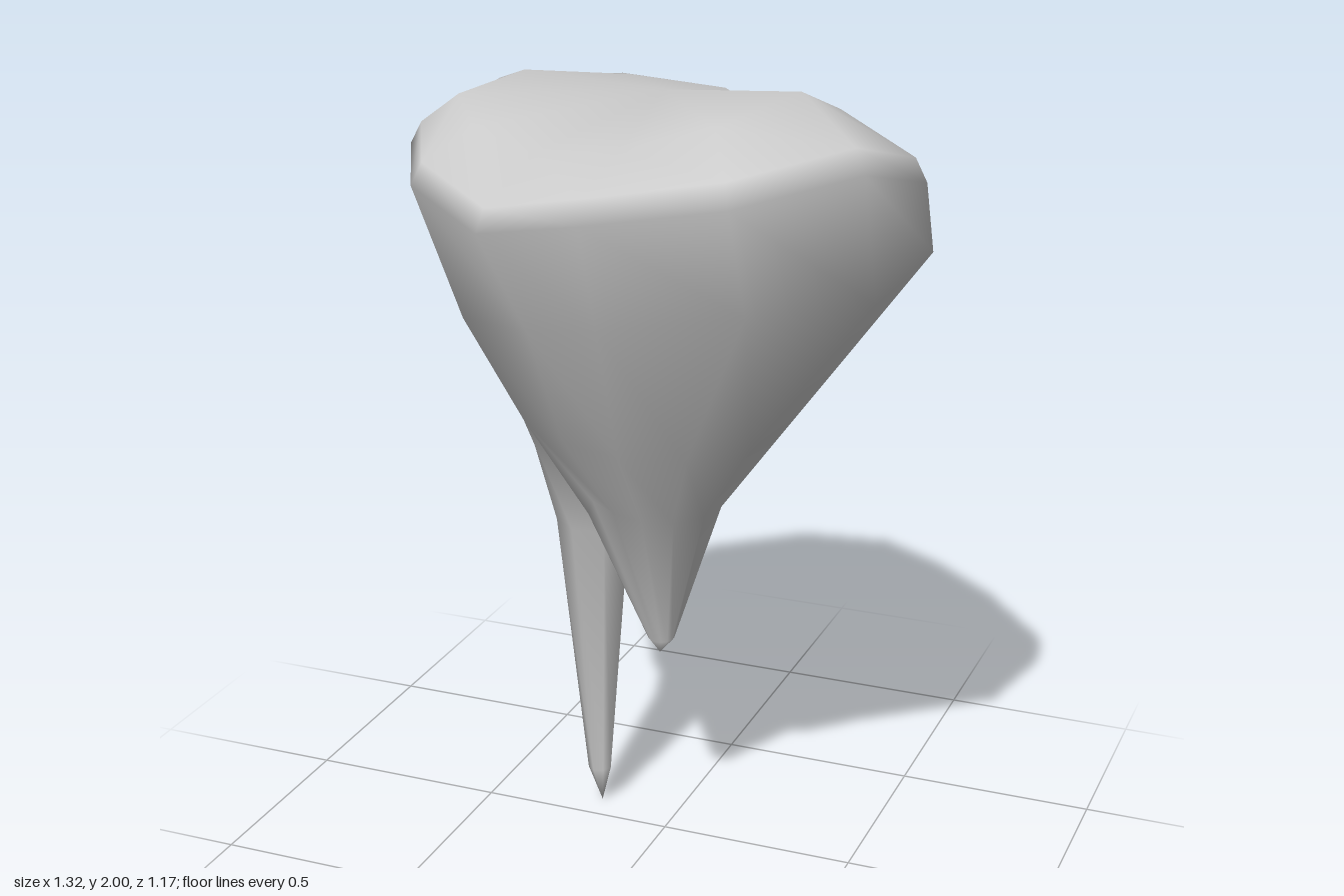
import * as THREE from 'three';
import { mergeVertices } from 'three/addons/utils/BufferGeometryUtils.js';

// Irregular twelve-sided outline [x, z], from the back round the left side
const OUTLINE = [
  [-0.03, -0.585], [0.19, -0.505], [0.42, -0.29], [0.64, 0.01], [0.585, 0.31], [0.35, 0.52],
  [0.03, 0.585], [-0.26, 0.485], [-0.52, 0.29], [-0.66, 0.015], [-0.575, -0.275], [-0.32, -0.5],
];

// Heights around the outline
const RIM = [1.76, 1.71, 1.74, 1.78, 1.86, 1.81, 1.76, 1.69, 1.73, 1.76, 1.82, 1.81];
const HUMP = [1.85, 1.8, 1.82, 1.93, 2.0, 1.93, 1.87, 1.83, 1.85, 1.89, 1.91, 1.88];
const SHOULDER = [1.53, 1.53, 1.57, 1.62, 1.56, 1.55, 1.5, 1.45, 1.42, 1.4, 1.45, 1.5];

const point = (n, x, y, z) => Array.from({ length: n }, () => [x, y, z]);
const scaled = (s, heights) => OUTLINE.map(([x, z], i) => [x * s, heights[i], z * s]);

// Outline squeezed to given extents; y is one height or one per corner
function fitted(y, x0, x1, z0, z1) {
  return OUTLINE.map(([x, z], i) => [
    x > 0 ? (x / 0.64) * x1 : (x / -0.66) * x0,
    Array.isArray(y) ? y[i] : y,
    z > 0 ? (z / 0.585) * z1 : (z / -0.585) * z0,
  ]);
}

// Round section of n corners; start is the first corner's angle from the back
function oval(n, start, y, x0, x1, z0, z1) {
  return Array.from({ length: n }, (_, i) => {
    const a = start + (i / n) * Math.PI * 2;
    return [(x0 + x1) / 2 + (Math.sin(a) * (x1 - x0)) / 2, y, (z0 + z1) / 2 - (Math.cos(a) * (z1 - z0)) / 2];
  });
}

// Adds the skin between rings listed from top to bottom, leaving out flat slivers
function addSkin(positions, rings) {
  const same = (p, q) => p.every((v, i) => Math.abs(v - q[i]) < 1e-6);
  const triangle = (a, b, c) => {
    if (!same(a, b) && !same(b, c) && !same(c, a)) positions.push(...a, ...b, ...c);
  };
  for (let k = 0; k + 1 < rings.length; k++) {
    const upper = rings[k], lower = rings[k + 1];
    for (let i = 0; i < upper.length; i++) {
      const j = (i + 1) % upper.length;
      triangle(upper[i], upper[j], lower[i]);
      triangle(upper[j], lower[j], lower[i]);
    }
  }
}

export function createModel() {
  const positions = [];

  // Uneven top, bevelled rim and narrowing body
  const shoulder = fitted(SHOULDER, -0.45, 0.66, -0.435, 0.49);
  shoulder[8] = [-0.4, 1.42, 0.28];
  const waist = fitted(1.14, -0.385, 0.31, -0.31, 0.33);
  addSkin(positions, [
    point(12, 0, 1.94, 0),
    fitted(HUMP, -0.53, 0.43, -0.47, 0.33),
    scaled(0.955, RIM.map((y) => y + 0.055)),
    scaled(1, RIM),
    shoulder,
    waist,
  ]);

  // Fork between the two points, front to back
  const fork = [[-0.185, 0.87, 0.05], [-0.14, 0.81, -0.04], [-0.14, 0.9, -0.16]];

  // Short point on the front left of the fork
  const base = fitted(0.92, -0.2, 0.15, -0.14, 0.17);
  addSkin(positions, [
    [waist[11], ...waist.slice(0, 9), ...fork],
    [base[11], ...base.slice(0, 9), ...fork],
    oval(13, -0.61, 0.55, -0.035, 0.03, -0.015, 0.05),
    point(13, -0.005, 0.51, 0.02),
  ]);

  // Long spike on the back right of the fork
  addSkin(positions, [
    [...waist.slice(8, 12), ...[...fork].reverse()],
    oval(7, 3.35, 0.8, -0.325, -0.135, -0.195, 0.01),
    oval(7, 3.35, 0.1, -0.245, -0.185, -0.11, -0.045),
    point(7, -0.21, 0, -0.08),
  ]);

  // Weld everything into one smooth skin
  let geometry = new THREE.BufferGeometry();
  geometry.setAttribute('position', new THREE.Float32BufferAttribute(positions, 3));
  geometry = mergeVertices(geometry);
  geometry.computeVertexNormals();
  const rock = new THREE.Mesh(geometry, new THREE.MeshStandardMaterial({ color: 0xcccccc }));
  rock.name = 'forkedRock';

  const group = new THREE.Group();
  group.name = 'floatingRock';
  group.add(rock);
  return group;
}
